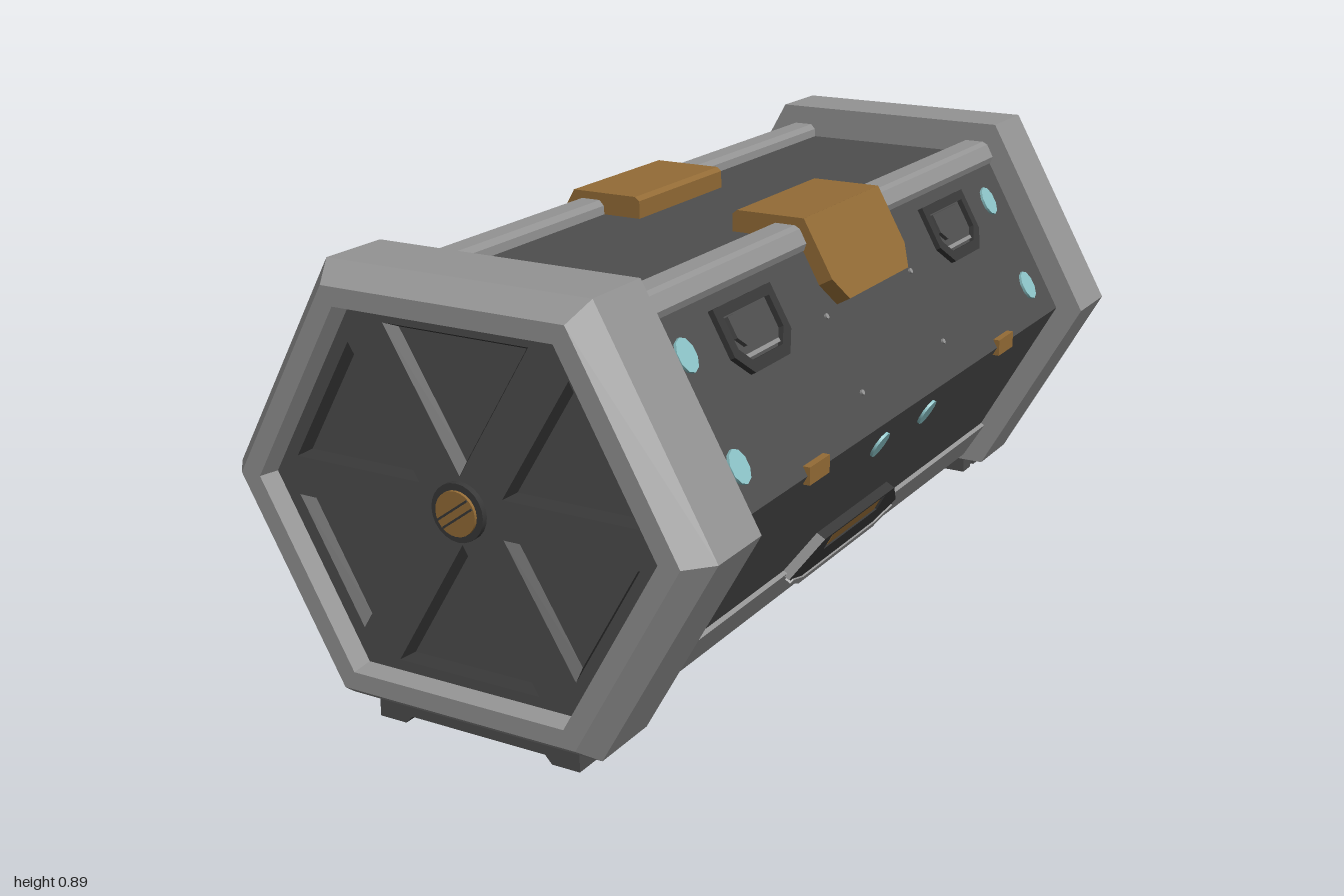
import * as THREE from 'three';

const mat = (name, color) => {
  const m = new THREE.MeshStandardMaterial({ color });
  m.name = name;
  return m;
};
const CY = 0.467; // height of the hexagon centre

export function createModel() {
  const steel = mat('light grey steel', 0x949494);
  const shell = mat('dark grey shell', 0x4e4e4e);
  const trim = mat('charcoal trim', 0x383838);
  const brass = mat('brass', 0x946c36);
  const cyan = mat('pale cyan light', 0x8cc4c8);

  const model = new THREE.Group();
  model.name = 'hexagonalContainer';

  const add = (parent, name, geometry, material, x = 0, y = 0, z = 0) => {
    const mesh = new THREE.Mesh(geometry, material);
    mesh.name = name;
    mesh.position.set(x, y, z);
    parent.add(mesh);
    return mesh;
  };
  const toShape = (pts) => new THREE.Shape(pts.map((p) => new THREE.Vector2(p[0], p[1])));
  // Straight prism from z0 to z1, with optional holes
  const prism = (pts, z0, z1, holes = []) => {
    const s = toShape(pts);
    holes.forEach((h) => s.holes.push(toShape(h)));
    return new THREE.ExtrudeGeometry(s, { depth: z1 - z0, bevelEnabled: false }).translate(0, 0, z0);
  };
  // Flat-shaded skin through closed rings of [x, y, z] points
  const loft = (rings) => {
    const pos = [];
    for (let i = 0; i + 1 < rings.length; i++) {
      const n = rings[i].length;
      for (let j = 0; j < n; j++) {
        const k = (j + 1) % n;
        const [a, b, c, d] = [rings[i][j], rings[i][k], rings[i + 1][k], rings[i + 1][j]];
        pos.push(...a, ...b, ...c, ...a, ...c, ...d);
      }
    }
    const g = new THREE.BufferGeometry();
    g.setAttribute('position', new THREE.Float32BufferAttribute(pos, 3));
    g.computeVertexNormals();
    return g;
  };
  const hex = (k) => [[0.517, 0], [0.28, 0.425], [-0.28, 0.425], [-0.517, 0], [-0.28, -0.425], [0.28, -0.425]]
    .map(([x, y]) => [x * k, y * k]);
  const hexRing = (k, z) => hex(k).map(([x, y]) => [x, y, z]);

  // Main body
  add(model, 'body', prism([[0.455, CY], [0.258, 0.82], [-0.258, 0.82], [-0.455, CY], [-0.228, 0.06], [0.228, 0.06]],
    -0.82, 0.82), shell);
  add(model, 'bottomPanel', new THREE.BoxGeometry(0.34, 0.01, 1.6), trim, 0, 0.058, 0);

  // Triangular recesses of the end panel
  const triangles = [];
  for (const s of [1, -1]) {
    triangles.push([[0.155, 0.325 * s], [-0.155, 0.325 * s], [0, 0.065 * s]]);
    for (const t of [1, -1]) triangles.push([[0.37 * t, 0.038 * s], [0.235 * t, 0.278 * s], [0.09 * t, 0.038 * s]]);
  }
  triangles.forEach((t) => {
    if (THREE.ShapeUtils.isClockWise(t.map((p) => new THREE.Vector2(p[0], p[1])))) t.reverse();
  });
  const shrink = (t, k) => {
    const cx = (t[0][0] + t[1][0] + t[2][0]) / 3;
    const cy = (t[0][1] + t[1][1] + t[2][1]) / 3;
    return t.map(([x, y]) => [cx + (x - cx) * k, cy + (y - cy) * k]);
  };

  // One end: cap ring, spoked panel, hub and foot
  const makeEnd = (name) => {
    const end = new THREE.Group();
    end.name = name;
    const face = new THREE.Group();
    face.name = name + 'Face';
    face.position.y = CY;
    end.add(face);
    add(face, 'capRing', loft([hexRing(0.7, 0.8), hexRing(1, 0.8), hexRing(1, 0.95), hexRing(0.915, 1),
      hexRing(0.83, 1), hexRing(0.81, 0.95)]), steel);
    add(face, 'spokedPanel', new THREE.ShapeGeometry((() => {
      const s = toShape(hex(0.82));
      triangles.forEach((t) => s.holes.push(toShape(t)));
      return s;
    })()).translate(0, 0, 0.96), shell);
    triangles.forEach((t) => {
      const inner = shrink(t, 0.88);
      add(face, 'recessWall', loft([t.map((p) => [...p, 0.96]), inner.map((p) => [...p, 0.937])]), trim);
      add(face, 'recessFloor', new THREE.ShapeGeometry(toShape(inner)).translate(0, 0, 0.937), shell);
    });
    const disc = (r, h) => new THREE.CylinderGeometry(r, r, h, 24).rotateX(Math.PI / 2);
    add(face, 'hubCollar', disc(0.056, 0.03), trim, 0, 0, 0.957);
    add(face, 'hubDisc', disc(0.043, 0.03), brass, 0, 0, 0.963);
    for (const s of [-1, 1]) {
      const slot = add(face, 'hubSlot', new THREE.BoxGeometry(0.08, 0.004, 0.004), trim, -0.005 * s, 0.007 * s, 0.978);
      slot.rotation.z = 0.63;
    }
    // Foot bracket with notched pads
    const foot = [[-0.225, 0], [-0.165, 0], [-0.15, 0.016], [0.15, 0.016], [0.165, 0], [0.225, 0], [0.225, 0.05], [-0.225, 0.05]];
    add(end, 'footPad', prism(foot, 0.82, 0.865), shell);
    add(end, 'footPad', prism(foot, 0.885, 0.94), shell);
    add(end, 'footBridge', new THREE.BoxGeometry(0.45, 0.034, 0.03), shell, 0, 0.033, 0.875);
    model.add(end);
    return end;
  };
  makeEnd('frontEnd');
  makeEnd('backEnd').rotation.y = Math.PI;

  // Flat frame lying on a slanted side: x runs along the body, y up the slope, z outward
  const slope = (parent, name, up) => {
    const g = new THREE.Group();
    g.name = name;
    const c = 0.488 * up;
    g.quaternion.setFromRotationMatrix(new THREE.Matrix4().makeBasis(
      new THREE.Vector3(0, 0, -1), new THREE.Vector3(-c, 0.873, 0), new THREE.Vector3(0.873, c, 0)));
    g.position.set(0.455, CY, 0);
    parent.add(g);
    return g;
  };
  const v = (y) => (y - CY) / 0.873;
  const dot = (r, n) => new THREE.CylinderGeometry(r, r, 0.008, n).rotateX(Math.PI / 2);

  const makeSide = (name) => {
    const side = new THREE.Group();
    side.name = name;
    model.add(side);

    // Corner rails
    add(side, 'topRail', prism([[0.195, 0.81], [0.197, 0.838], [0.207, 0.849], [0.25, 0.849], [0.262, 0.843],
      [0.277, 0.815], [0.272, 0.8], [0.25, 0.79]], -0.81, 0.81), steel);
    add(side, 'bottomRail', prism([[0.19, 0.07], [0.19, 0.055], [0.232, 0.055], [0.284, 0.14], [0.27, 0.148]],
      -0.81, 0.81), steel);

    // Upper slope: clip, carry handles and lights
    const upper = slope(side, 'upperSide', 1);
    add(side, 'clipTop', prism([[0.11, 0.815], [0.27, 0.815], [0.27, 0.865], [0.12, 0.865], [0.11, 0.857]],
      -0.172, 0.172), brass);
    add(upper, 'clipFlap', prism([[-0.172, 0.4375], [-0.172, 0.305], [-0.14, 0.255], [0.14, 0.255], [0.172, 0.305],
      [0.172, 0.4375]], 0, 0.033), brass);
    const handleOutline = (w, top, bottom, cut) => [[-w, top], [-w, bottom + cut], [-w + cut, bottom],
      [w - cut, bottom], [w, bottom + cut], [w, top]];
    for (const s of [-1, 1]) {
      const handle = new THREE.Group();
      handle.name = 'carryHandle';
      handle.position.x = 0.465 * s;
      upper.add(handle);
      add(handle, 'handleFrame', prism(handleOutline(0.11, v(0.776), v(0.655), 0.042), 0, 0.012,
        [handleOutline(0.088, v(0.758), v(0.675), 0.03)]), trim);
      add(handle, 'handleGrip', prism(handleOutline(0.07, v(0.755), v(0.7), 0.02), 0, 0.009), shell);
      add(handle, 'handleLip', new THREE.BoxGeometry(0.13, 0.008, 0.006), steel, 0, v(0.684), 0.003);
      for (const y of [0.73, 0.54]) {
        add(upper, 'sideLight', dot(0.029, 10), cyan, 0.7 * s, v(y), 0.002).scale.y = 1.18;
      }
      for (const y of [0.68, 0.535]) add(upper, 'rivet', dot(0.006, 6), steel, 0.2 * s, v(y), 0.001);
      // Brass hinge on the waist edge
      add(side, 'hinge', new THREE.BoxGeometry(0.022, 0.036, 0.082), brass, 0.449, CY, 0.465 * s);
    }

    // Lower slope: lights and pull housing
    const lower = slope(side, 'lowerSide', -1);
    for (const s of [-1, 1]) add(lower, 'lowerLight', dot(0.027, 10), cyan, 0.117 * s, v(0.403), 0.002).scale.y = 1.15;
    add(lower, 'pullHousing', prism([[-0.26, v(0.14)], [-0.18, v(0.105)], [0.18, v(0.105)], [0.26, v(0.14)],
      [0.17, v(0.205)], [-0.17, v(0.205)]], 0, 0.022,
    [[[-0.13, v(0.163)], [0.13, v(0.163)], [0.13, v(0.2)], [-0.13, v(0.2)]]]), trim);
    add(lower, 'pullBar', new THREE.BoxGeometry(0.23, 0.036, 0.024), brass, 0, v(0.183), 0.008);
    add(lower, 'pullLip', prism([[-0.25, v(0.13)], [-0.18, v(0.1)], [0.18, v(0.1)], [0.25, v(0.13)],
      [0.24, v(0.135)], [0.175, v(0.115)], [-0.175, v(0.115)], [-0.24, v(0.135)]], 0.012, 0.026), steel);
    return side;
  };
  makeSide('leftSide');
  makeSide('rightSide').rotation.y = Math.PI;

  return model;
}
